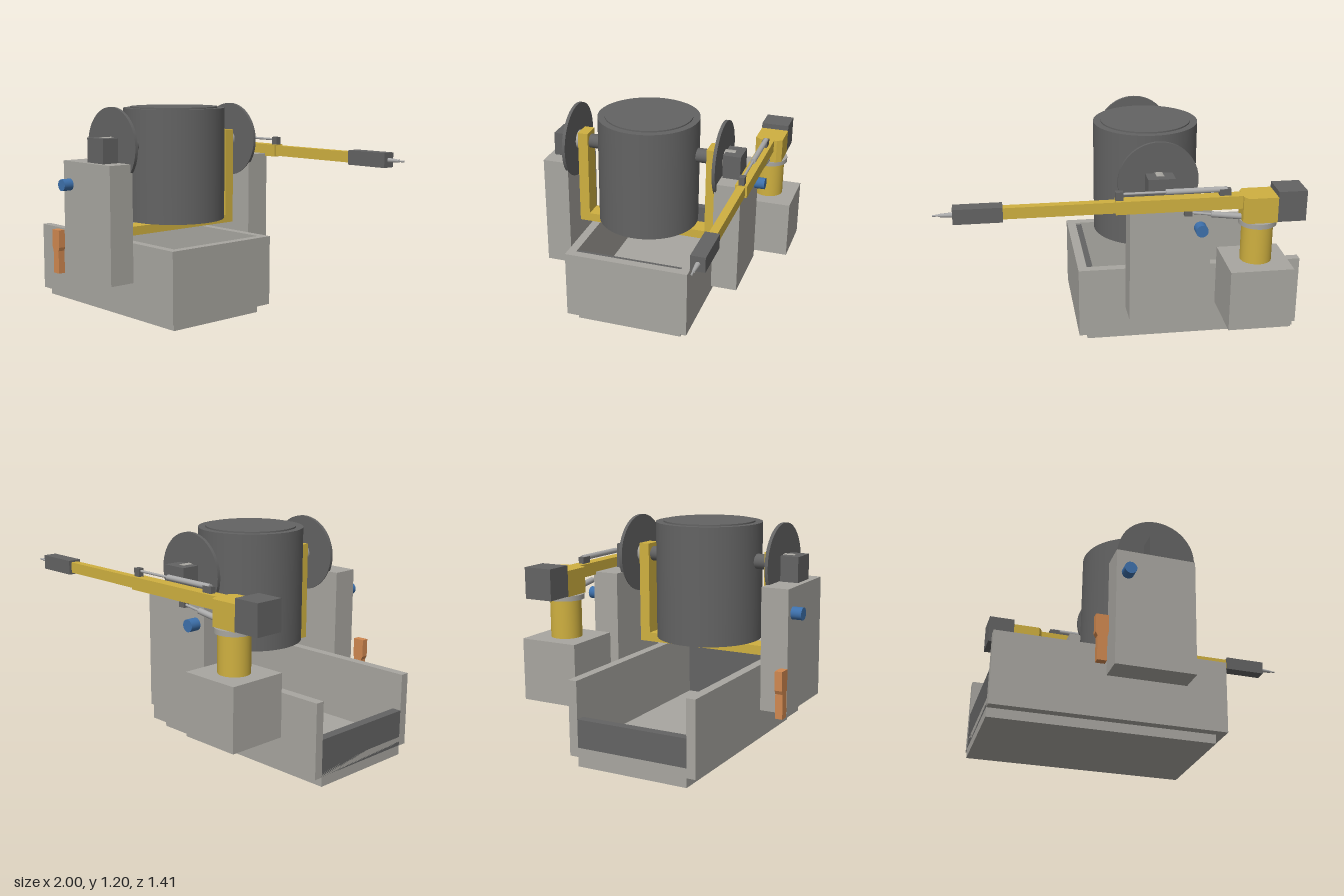
import * as THREE from 'three';

const mat = (name, color) => {
  const m = new THREE.MeshStandardMaterial({ color });
  m.name = name;
  return m;
};

export function createModel() {
  const model = new THREE.Group();
  model.name = 'vesselTippingStation';
  const concrete = mat('warm grey', 0xa8a6a0);
  const dark = mat('dark grey', 0x636363);
  const yellow = mat('machine yellow', 0xcfb040);
  const blue = mat('blue', 0x3d70ab);
  const orange = mat('orange', 0xd08850);
  const steel = mat('light steel', 0xa9a9a9);

  const add = (name, geo, material, parent = model) => {
    const m = new THREE.Mesh(geo, material);
    m.name = name;
    parent.add(m);
    return m;
  };
  // Box given by its limits on each axis
  const box = (name, material, x0, x1, y0, y1, z0, z1, parent) => {
    const g = new THREE.BoxGeometry(x1 - x0, y1 - y0, z1 - z0);
    g.translate((x0 + x1) / 2, (y0 + y1) / 2, (z0 + z1) / 2);
    return add(name, g, material, parent);
  };
  // Cylinder running from point a to point b
  const rod = (name, material, a, b, r0, r1 = r0, seg = 32, parent = model) => {
    const p = new THREE.Vector3(...a), q = new THREE.Vector3(...b);
    const d = q.clone().sub(p);
    const m = add(name, new THREE.CylinderGeometry(r1, r0, d.length(), seg), material, parent);
    m.position.copy(p).add(q).multiplyScalar(0.5);
    m.quaternion.setFromUnitVectors(new THREE.Vector3(0, 1, 0), d.normalize());
    return m;
  };

  // Pit: plinth, floor, walls and end plates
  box('plinth', concrete, -1, 0.2, 0, 0.05, -0.25, 0.38);
  box('pitFloor', concrete, -1, 0.25, 0.05, 0.1, -0.3, 0.43);
  box('frontWall', concrete, -1, 0.25, 0.1, 0.45, 0.38, 0.43);
  box('backWall', concrete, -1, 0.25, 0.1, 0.45, -0.3, -0.25);
  box('endWall', concrete, 0.2, 0.25, 0.1, 0.45, -0.25, 0.38);
  box('lowGate', dark, -1, -0.95, 0.052, 0.25, -0.25, 0.38);
  box('endPlate', dark, 0.165, 0.2, 0.1, 0.44, -0.25, 0.38);

  // Vessel and lid
  const cx = -0.17, cz = 0.065, axisY = 0.985;
  rod('vessel', dark, [cx, 0.55, cz], [cx, 1.185, cz], 0.29, 0.29, 64);
  rod('vesselLid', dark, [cx, 1.185, cz], [cx, 1.193, cz], 0.25, 0.25, 64);

  // Yoke bottom bar, then both bearing sides mirrored about the vessel
  box('yokeBar', yellow, cx - 0.055, cx + 0.055, 0.487, 0.537, cz - 0.415, cz + 0.415);
  for (const s of [1, -1]) {
    const side = new THREE.Group();
    side.name = s > 0 ? 'frontSupport' : 'backSupport';
    model.add(side);
    const sideBox = (name, m, x0, x1, y0, y1, a, b) =>
      box(name, m, x0, x1, y0, y1, cz + Math.min(s * a, s * b), cz + Math.max(s * a, s * b), side);
    const sideRod = (name, m, x, y, a, b, r, seg = 32) =>
      rod(name, m, [x, y, cz + s * a], [x, y, cz + s * b], r, r, seg, side);
    sideBox('yokeArm', yellow, cx - 0.055, cx + 0.055, 0.537, 1.045, 0.355, 0.415);
    sideRod('trunnion', dark, cx, axisY, 0.27, 0.45, 0.041);
    sideRod('bearing', concrete, cx, axisY, 0.415, 0.51, 0.054);
    sideRod('gearDisc', dark, cx, axisY, 0.43, 0.448, 0.215, 64);
    sideBox('drive', dark, cx - 0.072, cx + 0.072, 0.9, 1.035, 0.455, 0.555);
    sideBox('pillar', concrete, -0.43, 0, 0.25, 0.9, 0.435, 0.585);
    sideRod('sensor', blue, -0.37, 0.77, 0.585, 0.643, 0.033);
  }

  // Control post: broad head tapering into a narrower shaft
  const post = new THREE.Shape([
    [-0.525, 0.25], [-0.475, 0.25], [-0.475, 0.38], [-0.469, 0.4],
    [-0.469, 0.5], [-0.535, 0.5], [-0.535, 0.4], [-0.525, 0.38],
  ].map(p => new THREE.Vector2(...p)));
  const postGeo = new THREE.ExtrudeGeometry(post, { depth: 0.04, bevelEnabled: false });
  postGeo.translate(0, 0, 0.627);
  add('controlPost', postGeo, orange);

  // Manipulator base and turret
  const az = -0.54;
  box('manipulatorBase', concrete, -0.835, -0.5, 0.25, 0.585, -0.705, -0.375);
  rod('turretColumn', yellow, [-0.67, 0.585, az], [-0.67, 0.79, az], 0.083, 0.083, 48);
  rod('turretFlange', concrete, [-0.67, 0.79, az], [-0.67, 0.817, az], 0.1, 0.1, 48);
  box('motor', dark, -0.905, -0.755, 0.82, 0.985, az - 0.08, az + 0.08);

  // Shoulder block with chamfered neck
  box('shoulder', yellow, -0.755, -0.6, 0.817, 0.955, az - 0.08, az + 0.08);
  const neck = new THREE.Shape([
    [-0.6, -0.08], [-0.58, -0.05], [-0.58, 0.05], [-0.6, 0.08],
  ].map(p => new THREE.Vector2(...p)));
  const neckGeo = new THREE.ExtrudeGeometry(neck, { depth: 0.138, bevelEnabled: false });
  neckGeo.rotateX(-Math.PI / 2);
  neckGeo.translate(0, 0.817, az);
  add('shoulderNeck', neckGeo, yellow);

  // Telescopic arm and tool
  box('outerArm', yellow, -0.58, 0.08, 0.885, 0.955, az - 0.033, az + 0.033);
  box('innerArm', yellow, 0.08, 0.65, 0.89, 0.95, az - 0.022, az + 0.022);
  box('toolHead', dark, 0.65, 0.9, 0.88, 0.96, az - 0.038, az + 0.038);
  rod('toolTip', steel, [0.9, 0.92, az], [0.97, 0.92, az], 0.013, 0.008, 16);
  rod('toolNeedle', steel, [0.97, 0.92, az], [1, 0.92, az], 0.005, 0.005, 12);

  // Extension cylinder on top of the arm
  box('rearBracket', dark, -0.52, -0.46, 0.955, 0.99, az - 0.016, az + 0.016);
  box('frontBracket', dark, 0.04, 0.08, 0.955, 1.0, az - 0.016, az + 0.016);
  rod('extensionCylinder', steel, [-0.5, 0.985, az], [-0.18, 0.985, az], 0.015, 0.015, 20);
  rod('extensionRod', steel, [-0.18, 0.985, az], [0.05, 0.985, az], 0.007, 0.007, 16);

  // Lift cylinder below the arm
  rod('liftCylinder', steel, [-0.59, 0.828, az], [-0.42, 0.85, az], 0.016, 0.016, 20);
  rod('liftRod', steel, [-0.42, 0.85, az], [-0.3, 0.866, az], 0.007, 0.007, 16);
  box('liftBracket', dark, -0.32, -0.28, 0.85, 0.885, az - 0.016, az + 0.016);

  return model;
}
